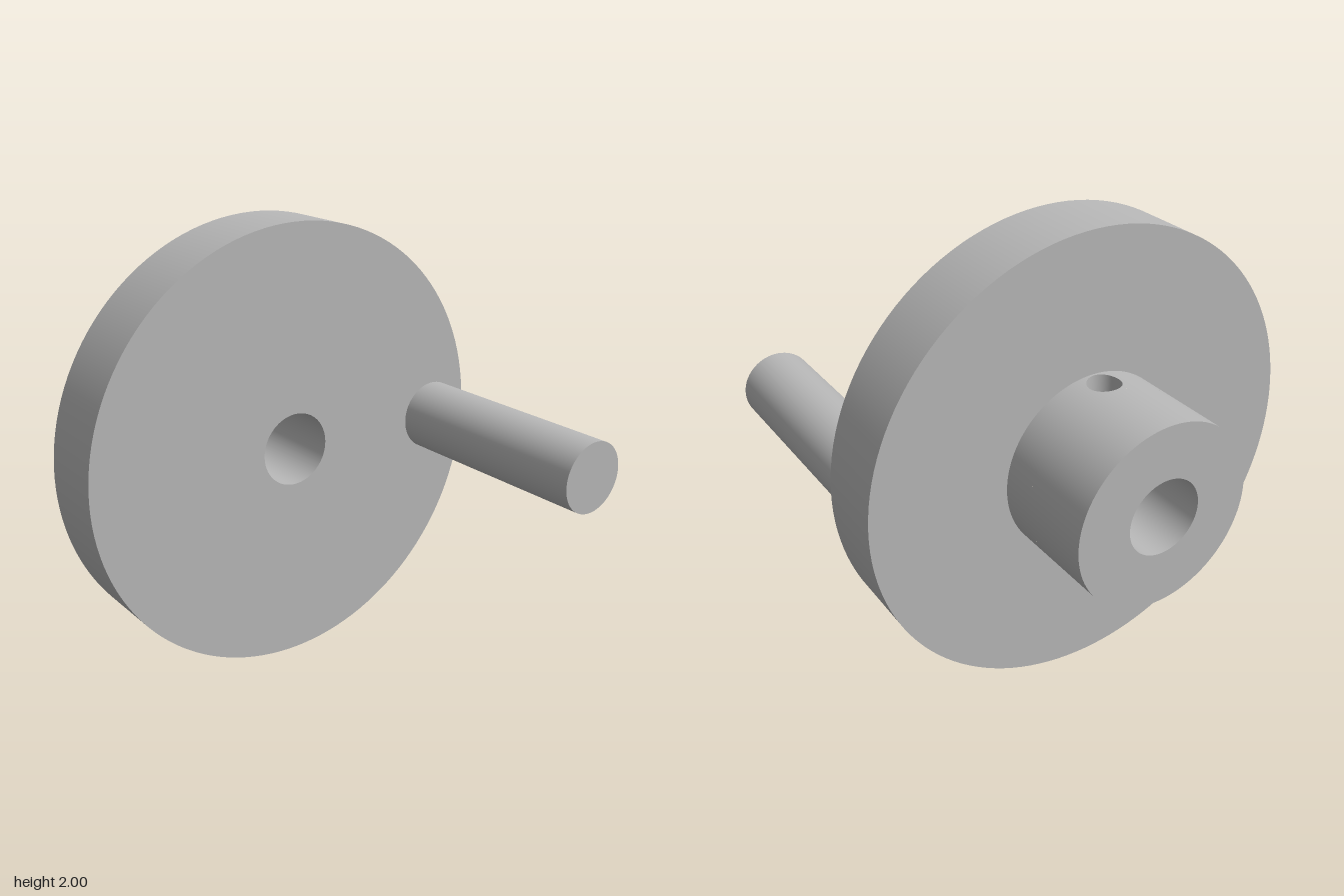
import * as THREE from 'three';
import { mergeGeometries } from 'three/addons/utils/BufferGeometryUtils.js';

const DISC_R = 1, HUB_R = 0.4, BORE_R = 0.165, PIN_R = 0.16, SCREW_R = 0.07;
const FRONT = -0.1, DISC_BACK = -0.42, HUB_BACK = -0.9;
const SCREW_Z = -0.5, PATCH = 0.08; // half-size of the square left open around the screw hole

// Surface swept round the z axis from one (radius, z) point to another.
// An open gap of +-gap radians can be left at the top.
function band(r0, z0, r1, z1, gap = 0) {
  const points = [new THREE.Vector2(r0, z0), new THREE.Vector2(r1, z1)];
  const g = new THREE.LatheGeometry(points, 128, Math.PI + gap, 2 * Math.PI - 2 * gap);
  g.rotateX(Math.PI / 2);
  g.deleteAttribute('uv');
  return g;
}

// Grid of quads from f(u, v) -> [x, y, z, nx, ny, nz]
function grid(nu, nv, f, flip = false) {
  const pos = [], nor = [], index = [];
  for (let j = 0; j <= nv; j++) {
    for (let i = 0; i <= nu; i++) {
      const p = f(i / nu, j / nv);
      pos.push(...p.slice(0, 3));
      nor.push(...p.slice(3));
      if (i === nu || j === nv) continue;
      const a = j * (nu + 1) + i, b = a + 1, c = a + nu + 1, d = c + 1;
      index.push(...(flip ? [a, c, b, b, c, d] : [a, b, c, b, d, c]));
    }
  }
  const g = new THREE.BufferGeometry();
  g.setAttribute('position', new THREE.Float32BufferAttribute(pos, 3));
  g.setAttribute('normal', new THREE.Float32BufferAttribute(nor, 3));
  g.setIndex(index);
  return g;
}

// Curved square at the top of a cylinder of radius R, with the screw hole cut out
function holedPatch(R, inward) {
  const s = inward ? -1 : 1;
  return grid(64, 4, (u, v) => {
    const c = Math.cos(u * 2 * Math.PI), n = Math.sin(u * 2 * Math.PI);
    const edge = PATCH / Math.max(Math.abs(c), Math.abs(n));
    const r = THREE.MathUtils.lerp(SCREW_R, edge, v);
    const x = r * c, y = Math.sqrt(R * R - x * x);
    return [x, y, SCREW_Z + r * n, s * x / R, s * y / R, 0];
  }, inward);
}

export function createModel() {
  const model = new THREE.Group();
  const metal = new THREE.MeshStandardMaterial({ color: 0xb8b8b8 });
  metal.name = 'grey metal';

  const add = (name, parts) => {
    const mesh = new THREE.Mesh(mergeGeometries(parts), metal);
    mesh.name = name;
    mesh.position.y = 1;
    model.add(mesh);
    return mesh;
  };

  // Crank disc with its part of the bore
  add('disc', [
    band(DISC_R, DISC_BACK, DISC_R, FRONT),
    band(DISC_R, FRONT, BORE_R, FRONT),
    band(BORE_R, FRONT, BORE_R, DISC_BACK),
    band(HUB_R, DISC_BACK, DISC_R, DISC_BACK),
  ]);

  // Hub behind the disc, open around the screw hole
  const screwBack = SCREW_Z - PATCH;
  add('hub', [
    band(BORE_R, HUB_BACK, HUB_R, HUB_BACK),
    band(HUB_R, HUB_BACK, HUB_R, screwBack),
    band(HUB_R, screwBack, HUB_R, DISC_BACK, Math.asin(PATCH / HUB_R)),
    holedPatch(HUB_R, false),
    band(BORE_R, DISC_BACK, BORE_R, screwBack, Math.asin(PATCH / BORE_R)),
    band(BORE_R, screwBack, BORE_R, HUB_BACK),
    holedPatch(BORE_R, true),
  ]);

  // Wall of the set-screw hole, from the bore up to the hub's outside
  add('setScrewHole', [grid(64, 1, (u, v) => {
    const c = Math.cos(u * 2 * Math.PI), n = Math.sin(u * 2 * Math.PI);
    const x = SCREW_R * c, R = v ? HUB_R : BORE_R;
    return [x, Math.sqrt(R * R - x * x), SCREW_Z + SCREW_R * n, -c, 0, -n];
  })]);

  // Crank pin on the front of the disc
  const pin = new THREE.CylinderGeometry(PIN_R, PIN_R, 1, 64);
  pin.rotateX(Math.PI / 2);
  add('crankPin', [pin]).position.set(0.8, 1, 0.4);

  return model;
}
